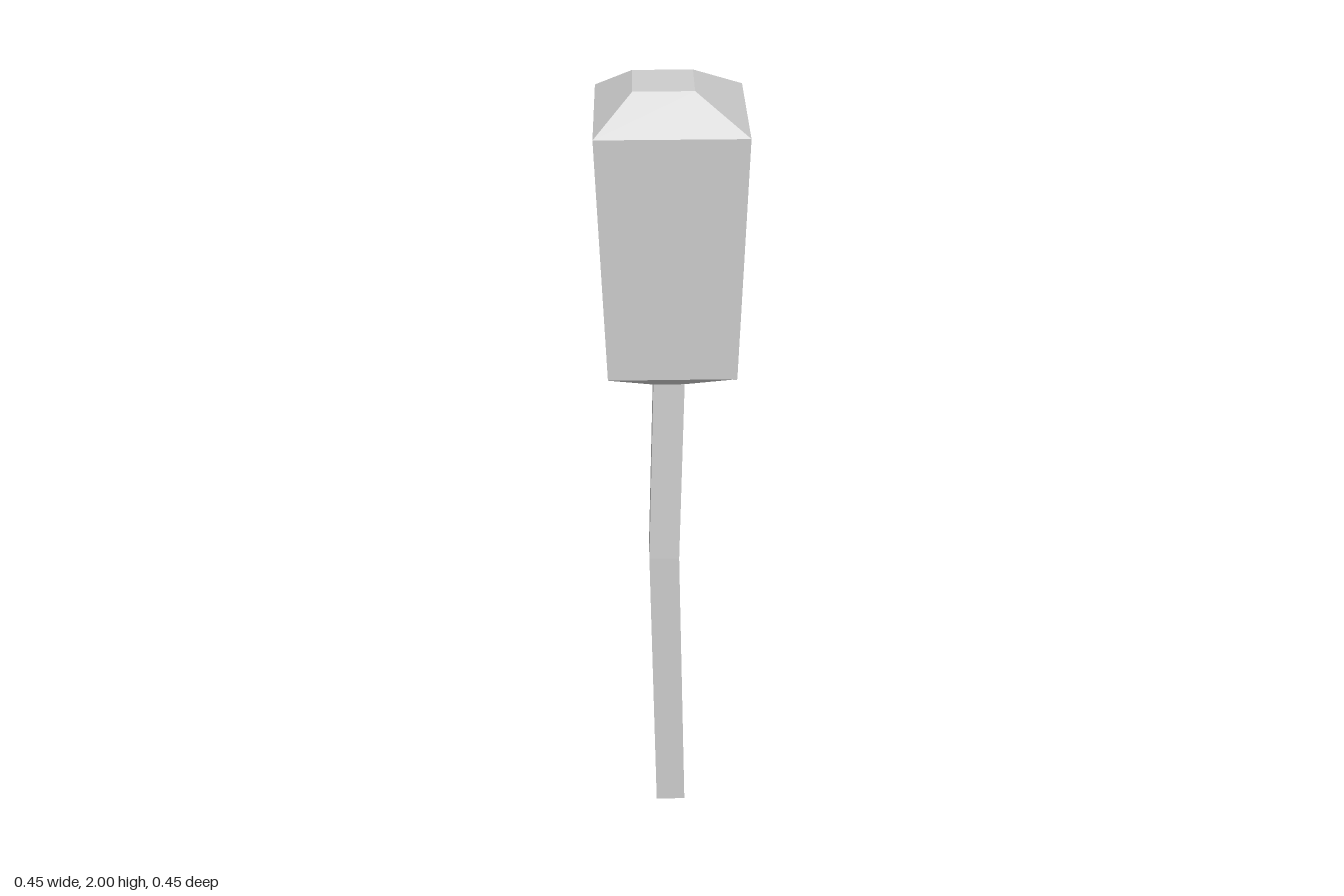
import * as THREE from 'three';

const SIDES = 4;

// Lofts diamond sections [y, centreX, radius], listed bottom to top, into a faceted skin
function loft(sections, capBottom, capTop) {
  const rings = sections.map(([y, cx, r]) =>
    Array.from({ length: SIDES }, (_, i) => {
      const a = (i / SIDES) * Math.PI * 2;
      return [cx + r * Math.cos(a), y, r * Math.sin(a)];
    }));
  const pos = [];
  const tri = (...corners) => corners.forEach((p) => pos.push(...p));

  for (let k = 0; k < rings.length - 1; k++) {
    for (let i = 0; i < SIDES; i++) {
      const j = (i + 1) % SIDES;
      const lo = rings[k], hi = rings[k + 1];
      tri(lo[i], hi[i], lo[j]);
      tri(lo[j], hi[i], hi[j]);
    }
  }
  const first = rings[0], last = rings[rings.length - 1];
  for (let i = 1; i < SIDES - 1; i++) {
    if (capBottom) tri(first[0], first[i], first[i + 1]);
    if (capTop) tri(last[0], last[i + 1], last[i]);
  }

  const geo = new THREE.BufferGeometry();
  geo.setAttribute('position', new THREE.Float32BufferAttribute(pos, 3));
  geo.computeVertexNormals();
  return geo;
}

export function createModel() {
  const group = new THREE.Group();
  group.name = 'cattail';

  const grey = new THREE.MeshStandardMaterial({ color: 0xcccccc, flatShading: true });
  grey.name = 'light grey';

  const add = (name, geometry) => {
    const mesh = new THREE.Mesh(geometry, grey);
    mesh.name = name;
    group.add(mesh);
  };

  // Slightly bowed stem, closed at the foot
  add('stem', loft([
    [0, 0, 0.053],
    [0.82, -0.022, 0.051],
    [1.3, -0.005, 0.05],
  ], true, false));

  // Thick seed head with bevelled ends, growing straight out of the stem
  add('seedHead', loft([
    [1.3, -0.005, 0.05],
    [1.37, 0.003, 0.2],
    [1.93, 0, 0.223],
    [2, -0.021, 0.089],
  ], false, true));

  return group;
}
